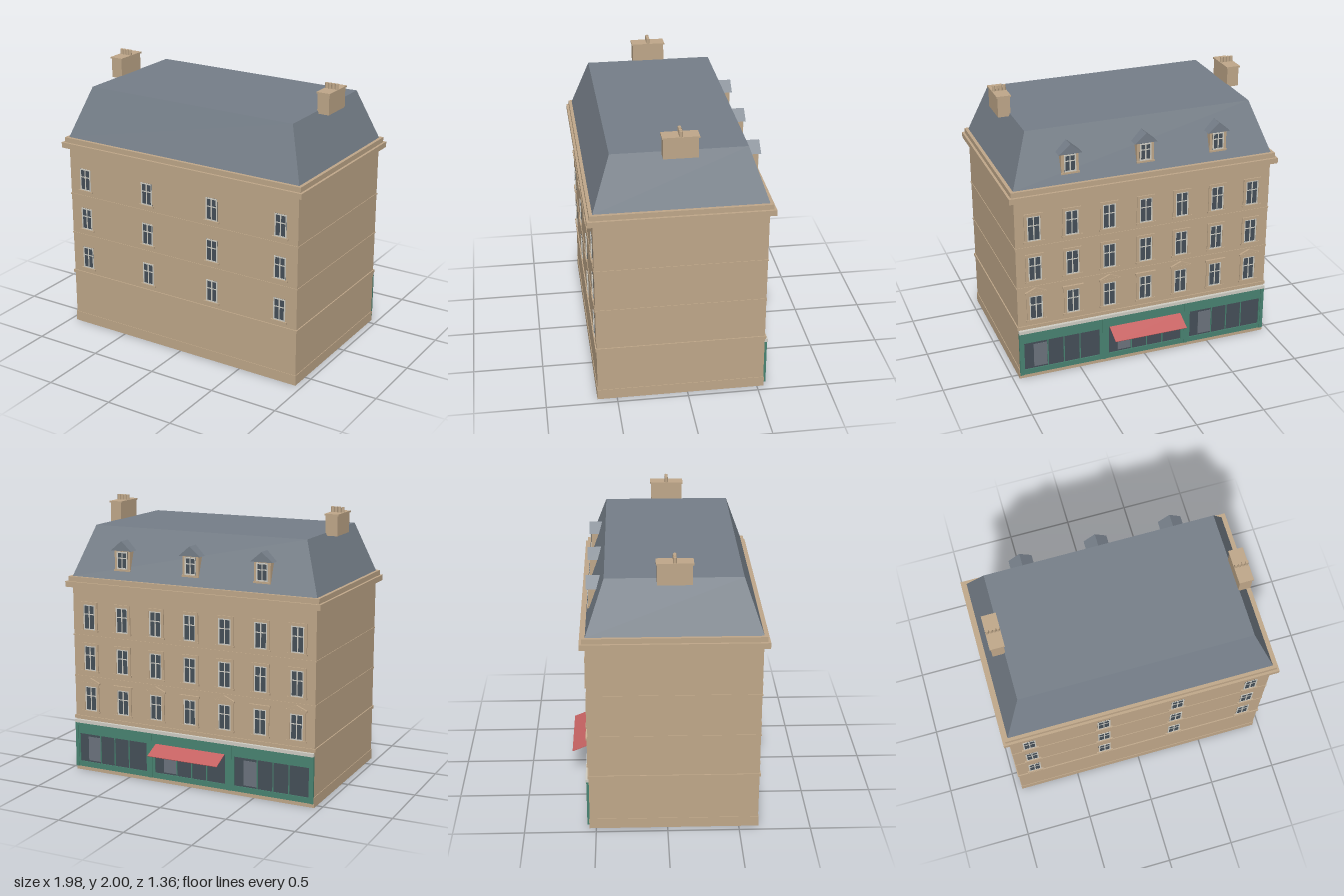
import * as THREE from 'three';

const mat = (name, color) => Object.assign(new THREE.MeshStandardMaterial({ color }), { name });
const stone = mat('stone', 0xbfa789);
const slate = mat('slate', 0x757e88);
const frame = mat('paintedFrame', 0xcfcdc4);
const glass = mat('glass', 0x454f58);
const paleGlass = mat('paleGlass', 0x6b737d);
const green = mat('shopGreen', 0x488371);
const red = mat('awningRed', 0xc66262);

const BACK = -0.545, FRONT = 0.635, MID = 0.045, HX = 0.95, HZ = 0.59;

function add(parent, name, geo, material, x = 0, y = 0, z = 0) {
  const m = new THREE.Mesh(geo, material);
  m.name = name;
  m.position.set(x, y, z);
  parent.add(m);
  return m;
}

// Box given by its x and y ranges and its z range
function slab(parent, name, material, x0, x1, y0, y1, z0, z1) {
  return add(parent, name, new THREE.BoxGeometry(x1 - x0, y1 - y0, z1 - z0), material,
    (x0 + x1) / 2, (y0 + y1) / 2, (z0 + z1) / 2);
}

// Course around the whole building, standing out by a given amount
const course = (parent, name, y0, y1, out) =>
  slab(parent, name, stone, -HX - out, HX + out, y0, y1, BACK - out, FRONT + out);

// Triangular prism, its base centred on the origin, running from z = 0 to z = depth
function prism(width, height, depth) {
  const s = new THREE.Shape([
    new THREE.Vector2(-width / 2, 0), new THREE.Vector2(width / 2, 0), new THREE.Vector2(0, height)]);
  return new THREE.ExtrudeGeometry(s, { depth, bevelEnabled: false });
}

// Casement window on the plane z = 0, facing +z, with its foot at y = 0
function casement(w, h) {
  const g = new THREE.Group();
  g.name = 'window';
  const b = 0.009, t = h * 0.6;
  slab(g, 'windowGlass', glass, -w / 2, w / 2, 0, h, -0.004, 0.002);
  for (const s of [-1, 1]) {
    const x = s * (w / 2 - b / 2);
    slab(g, 'windowJamb', frame, x - b / 2, x + b / 2, 0, h, 0, 0.005);
  }
  slab(g, 'windowMullion', frame, -0.004, 0.004, 0, h, 0, 0.005);
  for (const y of [0, t, h - b])
    slab(g, 'windowRail', frame, -w / 2, w / 2, y, y + (y === t ? 0.007 : b), 0, 0.0045);
  return g;
}

function sill(g, w) {
  slab(g, 'windowSill', stone, -w / 2, w / 2, -0.012, 0.001, 0, 0.013);
}

// Window with a stone surround
function dressedWindow() {
  const g = casement(0.096, 0.187), h = 0.187;
  for (const s of [-1, 1]) {
    const x = s * 0.058;
    slab(g, 'surroundJamb', stone, x - 0.01, x + 0.01, 0, h, 0, 0.009);
  }
  slab(g, 'surroundLintel', stone, -0.068, 0.068, h, h + 0.02, 0, 0.009);
  sill(g, 0.148);
  return g;
}

// One shop bay, starting at x = 0
function shopBay(width) {
  const g = new THREE.Group();
  g.name = 'shopfront';
  const x0 = 0.035, x1 = width - 0.035, y0 = 0.07, y1 = 0.285;
  slab(g, 'shopFascia', green, 0, width, y1, 0.37, 0, 0.012);
  slab(g, 'stallRiser', green, 0, width, 0.03, y0, 0, 0.012);
  for (const x of [0, x1]) slab(g, 'shopPier', green, x, x + 0.035, y0, y1, 0, 0.012);
  slab(g, 'shopGlass', glass, x0, x1, y0, y1, 0, 0.005);
  slab(g, 'shopPaleGlass', paleGlass, 0.105, 0.205, y0 + 0.012, y1 - 0.02, 0.004, 0.007);
  for (const x of [0.21, 0.33, 0.45])
    slab(g, 'shopMullion', green, x - 0.004, x + 0.004, y0, y1, 0, 0.009);
  return g;
}

// Dormer facing +z, with its front wall on z = 0
function dormer() {
  const g = new THREE.Group();
  g.name = 'dormer';
  slab(g, 'dormerBody', stone, -0.062, 0.062, 1.53, 1.68, -0.09, 0);
  const w = casement(0.084, 0.125);
  w.position.set(0, 1.543, 0.001);
  g.add(w);
  slab(g, 'dormerSill', stone, -0.066, 0.066, 1.528, 1.541, 0, 0.008);
  add(g, 'dormerRoof', prism(0.166, 0.07, 0.115), slate, 0, 1.675, -0.1);
  return g;
}

function chimney(side) {
  const g = new THREE.Group();
  g.name = 'chimney';
  const cx = side * 0.859;
  slab(g, 'chimneyStack', stone, cx - 0.044, cx + 0.044, 1.81, 1.95, -0.07, 0.163);
  slab(g, 'chimneyCap', stone, cx - 0.051, cx + 0.051, 1.95, 1.962, -0.077, 0.17);
  for (let i = 0; i < 4; i++)
    add(g, 'chimneyPot', new THREE.CylinderGeometry(0.0115, 0.0125, 0.04, 12), stone,
      cx + (i - 1.5) * 0.025, 1.98, 0.046);
  return g;
}

export function createModel() {
  const model = new THREE.Group();
  model.name = 'townBuilding';

  // Walls, plinth, string courses and cornice
  course(model, 'walls', 0, 1.4, 0);
  course(model, 'plinth', 0, 0.075, 0.004);
  course(model, 'shopStringCourse', 0.4, 0.422, 0.008);
  for (const y of [0.718, 1.026]) course(model, 'stringCourse', y, y + 0.011, 0.004);
  course(model, 'corniceLower', 1.39, 1.43, 0.04);
  course(model, 'corniceUpper', 1.43, 1.466, 0.023);

  // Mansard roof: a box narrowed at the top
  const roof = new THREE.BoxGeometry(2 * HX, 0.365, 2 * HZ);
  const p = roof.attributes.position;
  for (let i = 0; i < p.count; i++) {
    if (p.getY(i) > 0) {
      p.setX(i, Math.sign(p.getX(i)) * 0.82);
      p.setZ(i, Math.sign(p.getZ(i)) * 0.46);
    }
  }
  roof.computeVertexNormals();
  add(model, 'mansardRoof', roof, slate, 0, 1.6475, MID);
  for (const s of [-1, 1]) model.add(chimney(s));

  // Plain facade
  const plain = new THREE.Group();
  plain.name = 'plainFacade';
  plain.position.z = FRONT;
  for (const y of [0.463, 0.772, 1.078])
    for (const x of [-0.816, -0.272, 0.272, 0.816]) {
      const w = casement(0.092, 0.165);
      sill(w, 0.124);
      w.position.set(x, y, 0);
      plain.add(w);
    }
  model.add(plain);

  // Street facade with shops, dressed windows and dormers
  const street = new THREE.Group();
  street.name = 'streetFacade';
  street.position.z = BACK;
  street.rotation.y = Math.PI;
  [0.466, 0.772, 1.078].forEach((y, row) => {
    for (let i = -3; i <= 3; i++) {
      const w = dressedWindow();
      w.position.set(i * 0.272, y, 0);
      if (row === 0) {
        slab(w, 'windowHood', stone, -0.078, 0.078, 0.205, 0.219, 0, 0.016);
        if (i % 2 !== 0) add(w, 'pediment', prism(0.156, 0.034, 0.014), stone, 0, 0.218, 0);
      }
      street.add(w);
    }
  });
  const bay = (2 * HX) / 3;
  for (let i = 0; i < 3; i++) {
    const s = shopBay(bay);
    s.position.x = -HX + i * bay;
    street.add(s);
  }
  for (let i = 0; i <= 3; i++) {
    const x = Math.max(-HX + 0.012, Math.min(HX - 0.012, -HX + i * bay));
    slab(street, 'shopPilaster', green, x - 0.012, x + 0.012, 0.03, 0.37, 0, 0.017);
  }
  slab(street, 'shopCornice', frame, -HX, HX, 0.368, 0.392, 0, 0.022);

  // Sloping awning
  const awning = add(street, 'awning', new THREE.BoxGeometry(0.55, 0.005, 0.143), red, 0, 0.263, 0.072);
  awning.rotation.x = Math.atan2(0.055, 0.13);

  for (const x of [-0.543, 0, 0.543]) {
    const d = dormer();
    d.position.set(x, 0, -0.018);
    street.add(d);
  }
  model.add(street);
  return model;
}
